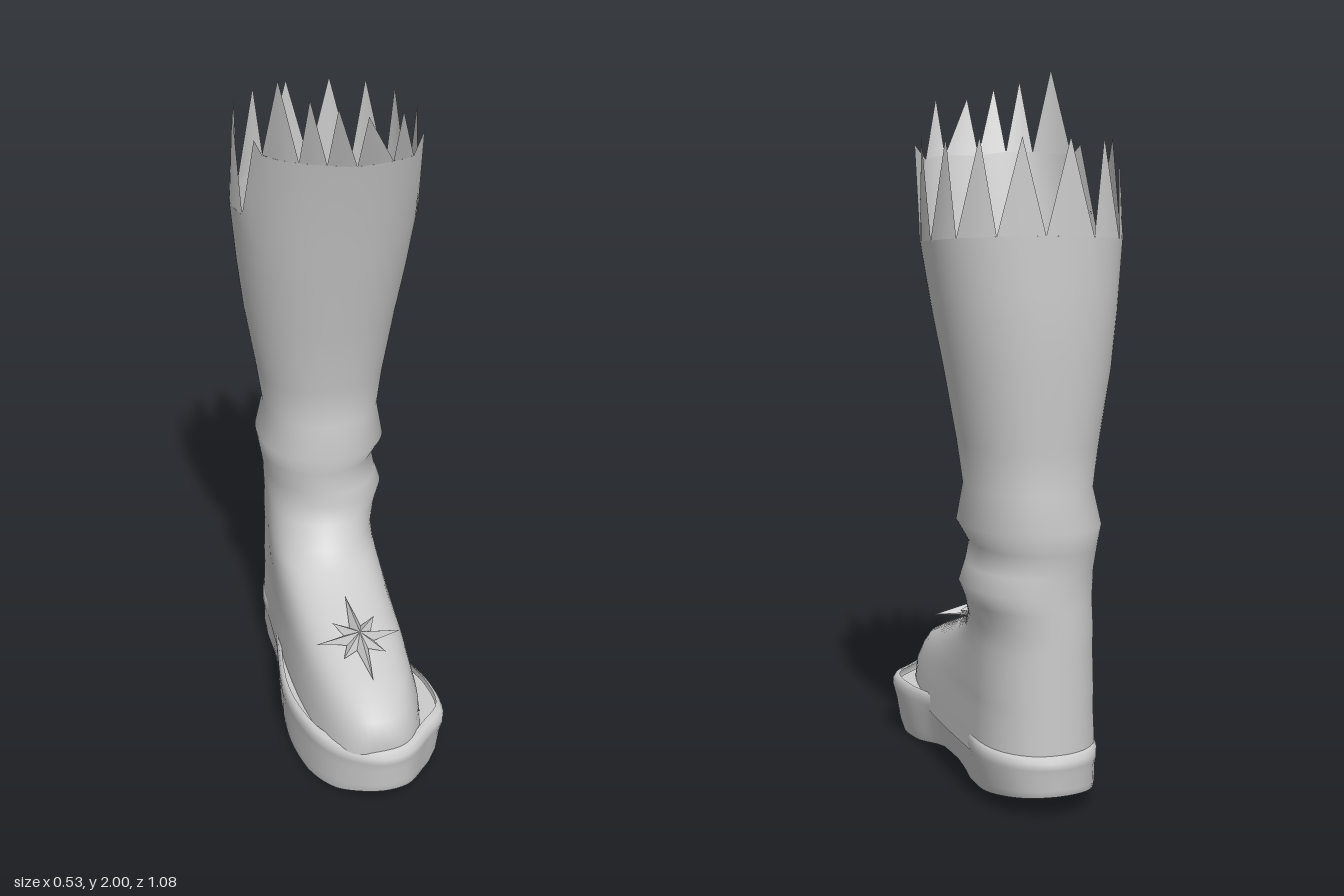
import * as THREE from 'three';

// Boot sections: y, front z, centre x, half width
const LEVELS = [
  [0.13, 0.51, -0.03, 0.165],
  [0.21, 0.525, -0.03, 0.163],
  [0.26, 0.495, -0.03, 0.16],
  [0.295, 0.455, -0.03, 0.16],
  [0.33, 0.37, -0.03, 0.16],
  [0.41, 0.14, -0.03, 0.157],
  [0.45, 0.02, -0.03, 0.156],
  [0.5, -0.04, -0.03, 0.157],
  [0.56, -0.085, -0.02, 0.165],
  [0.61, -0.105, -0.01, 0.177],
  [0.66, -0.1, -0.02, 0.168],
  [0.72, -0.118, -0.03, 0.168],
  [0.78, -0.092, -0.018, 0.19],
  [0.88, -0.12, -0.015, 0.17],
  [1.0, -0.113, -0.015, 0.187],
  [1.2, -0.07, -0.015, 0.22],
  [1.35, -0.035, -0.01, 0.242],
  [1.55, 0.01, -0.004, 0.265],
  [1.75, 0.06, 0.002, 0.258],
  [2.0, 0.17, 0.002, 0.25],
];
const ZC = -0.3;

// Linear lookup in a table of rows sorted by their first number
function lookup(table, v) {
  let i = 0;
  while (i < table.length - 2 && v > table[i + 1][0]) i++;
  const a = table[i], b = table[i + 1];
  const k = THREE.MathUtils.clamp((v - a[0]) / (b[0] - a[0]), 0, 1);
  return a.map((n, j) => n + (b[j] - n) * k);
}

// Point on the boot wall; the angle runs from the front (+z) towards +x
function wall(deg, y) {
  const [, zf, cx, hw] = lookup(LEVELS, y);
  // The back swells at the ankle crease and the calf
  const zb = -0.515 - 0.025 * THREE.MathUtils.smoothstep(y, 0.9, 1.3)
    - 0.02 * Math.exp(-(((y - 0.78) / 0.04) ** 2));
  // Blunt at the toe, pointed over the instep, fuller again up the shaft
  const squareness = y < 0.45 ? Math.max(2, 3.6 - 4.6 * y) : 2 + 0.35 * (y - 0.45);
  const foot = THREE.MathUtils.clamp((0.6 - y) * 5, 0, 1);
  const t = THREE.MathUtils.degToRad(deg), s = Math.sin(t), c = Math.cos(t);
  const e = 2 / (c > 0 ? squareness : 2.2);
  const u = Math.sign(c) * Math.abs(c) ** e;
  const f = Math.max(0, u) * foot;
  const x = cx - 0.035 * f + hw * (1 + 0.28 * f) * Math.sign(s) * Math.abs(s) ** e;
  return [x, y, ZC + u * (u > 0 ? zf - ZC : ZC - zb)];
}

function surface(points, index) {
  const g = new THREE.BufferGeometry();
  g.setAttribute('position', new THREE.Float32BufferAttribute(points.flat(), 3));
  g.setIndex(index);
  g.computeVertexNormals();
  return g;
}

// Closed rings joined into a smooth surface, listed from bottom to top
function loft(rings) {
  const n = rings[0].length, index = [];
  for (let i = 0; i < rings.length - 1; i++) for (let j = 0; j < n; j++) {
    const a = i * n + j, b = i * n + (j + 1) % n;
    index.push(a, b, a + n, b, b + n, a + n);
  }
  return surface(rings.flat(), index);
}

// Torn top edge: valley angle, valley height, tip angle, tip height
const TEETH = [
  [-60, 1.76, -53, 2.0], [-33, 1.77, -31, 1.97], [-16, 1.77, -14, 1.95],
  [-1, 1.76, 0, 1.92], [17, 1.76, 18, 1.92], [36, 1.75, 57, 1.79],
];
// Eight even teeth round the sides and back, leaning backwards
for (let i = 0; i < 8; i++) {
  const deg = 65 + 27.5 * i, t = THREE.MathUtils.degToRad(deg + 13.75);
  TEETH.push([deg, 1.535 - 0.025 * Math.cos(t), deg + 27.5 * (0.5 + 0.15 * Math.sin(t)), 1.81]);
}
TEETH.push([285, 1.55, 292, 1.79], [300, 1.76, 307, 2.0]);
const rimHeight = (deg) => lookup(TEETH, deg)[1];

function teethGeometry() {
  const points = [], index = [], STEPS = 4;
  for (let i = 0; i < TEETH.length - 1; i++) {
    const [d0, , tipDeg, tipY] = TEETH[i], d1 = TEETH[i + 1][0];
    const start = points.length;
    points.push(wall(tipDeg, tipY));
    for (let s = 0; s <= STEPS; s++) {
      const d = d0 + (d1 - d0) * s / STEPS;
      points.push(wall(d, rimHeight(d)));
      if (s) index.push(start + s, start + s + 1, start);
    }
  }
  return surface(points, index);
}

function upperGeometry() {
  const degs = Array.from({ length: 90 }, (_, i) => -60 + i * 4);
  const rings = LEVELS.filter((l) => l[0] <= 1.35).map((l) => degs.map((d) => wall(d, l[0])));
  for (const k of [0.35, 0.7, 1]) {
    rings.push(degs.map((d) => wall(d, 1.35 + (rimHeight(d) - 1.35) * k)));
  }
  return loft(rings);
}

// Sole outline (x, z) from the toe round by +x
const OUTLINE = [
  [-0.07, 0.54], [0.01, 0.53], [0.09, 0.46], [0.16, 0.385], [0.165, 0.25], [0.13, 0.1],
  [0.125, -0.15], [0.14, -0.36], [0.08, -0.49], [-0.03, -0.535], [-0.13, -0.5],
  [-0.19, -0.38], [-0.2, -0.2], [-0.26, 0.13], [-0.255, 0.28], [-0.22, 0.41], [-0.16, 0.49],
];
// Height of the underside along z: raised heel edge, arch, and ball of the foot
const UNDERSIDE = [
  [-0.54, 0.065], [-0.35, 0.035], [-0.16, 0.012], [-0.1, 0.035], [0.06, 0.033],
  [0.2, 0.008], [0.32, 0], [0.45, 0.012], [0.54, 0.04],
];

function soleRings() {
  const curve = new THREE.CatmullRomCurve3(
    OUTLINE.map(([x, z]) => new THREE.Vector3(x, 0, z)), true, 'centripetal');
  const pts = curve.getPoints(72).slice(0, 72);
  const ring = (scale, height, tuck = 1) => pts.map((p) => {
    const x = -0.04 + (p.x + 0.04) * scale, z = p.z * scale;
    return [x > 0 ? x * tuck : x, height(z), z];
  });
  const under = (z) => lookup(UNDERSIDE, z)[1];
  const mix = (k) => (z) => under(z) + (0.14 - under(z)) * k;
  return {
    tread: [0, 0.2, 0.4, 0.6, 0.8, 0.97].map((s) => ring(s, under, 0.85)).reverse(),
    side: [ring(0.97, under, 0.85), ring(0.985, mix(0.25), 0.9), ring(0.985, mix(0.75), 0.97),
      ring(1, () => 0.14), ring(1, () => 0.16), ring(0.975, () => 0.175), ring(0.93, () => 0.178)],
    insole: [0.93, 0.6, 0.3, 0].map((s) => ring(s, () => 0.16)),
  };
}

// Raised eight-pointed star, four long and four short faceted points
function starGeometry() {
  const tri = [], rim = [];
  for (let i = 0; i < 16; i++) {
    const a = i * Math.PI / 8;
    const r = i % 2 ? 0.044 : i % 4 === 2 ? 0.09 : i % 8 ? 0.127 : 0.15;
    rim.push([Math.sin(a) * r, i % 2 ? -0.005 : 0, Math.cos(a) * r]);
  }
  rim.forEach((p, i) => tri.push(p, rim[(i + 1) % 16], [0, 0.028, 0]));
  return surface(tri, tri.map((_, i) => i));
}

export function createModel() {
  const boot = new THREE.Group();
  boot.name = 'boot';
  const grey = new THREE.MeshStandardMaterial({ color: 0xcccccc, side: THREE.DoubleSide });
  grey.name = 'grey';
  const add = (name, geometry) => {
    const mesh = new THREE.Mesh(geometry, grey);
    mesh.name = name;
    boot.add(mesh);
    return mesh;
  };

  add('upper', upperGeometry());
  add('tornRim', teethGeometry());

  // Sole in three pieces so its edges stay crisp
  const sole = soleRings();
  const tread = loft(sole.tread);
  tread.index.array.reverse();
  tread.computeVertexNormals();
  add('tread', tread);
  add('soleSide', loft(sole.side));
  add('insole', loft(sole.insole));

  // Star lying on the slope of the instep
  const star = add('toeStar', starGeometry());
  star.position.set(-0.058, 0.383, 0.25);
  star.rotation.x = 0.36;

  return boot;
}
